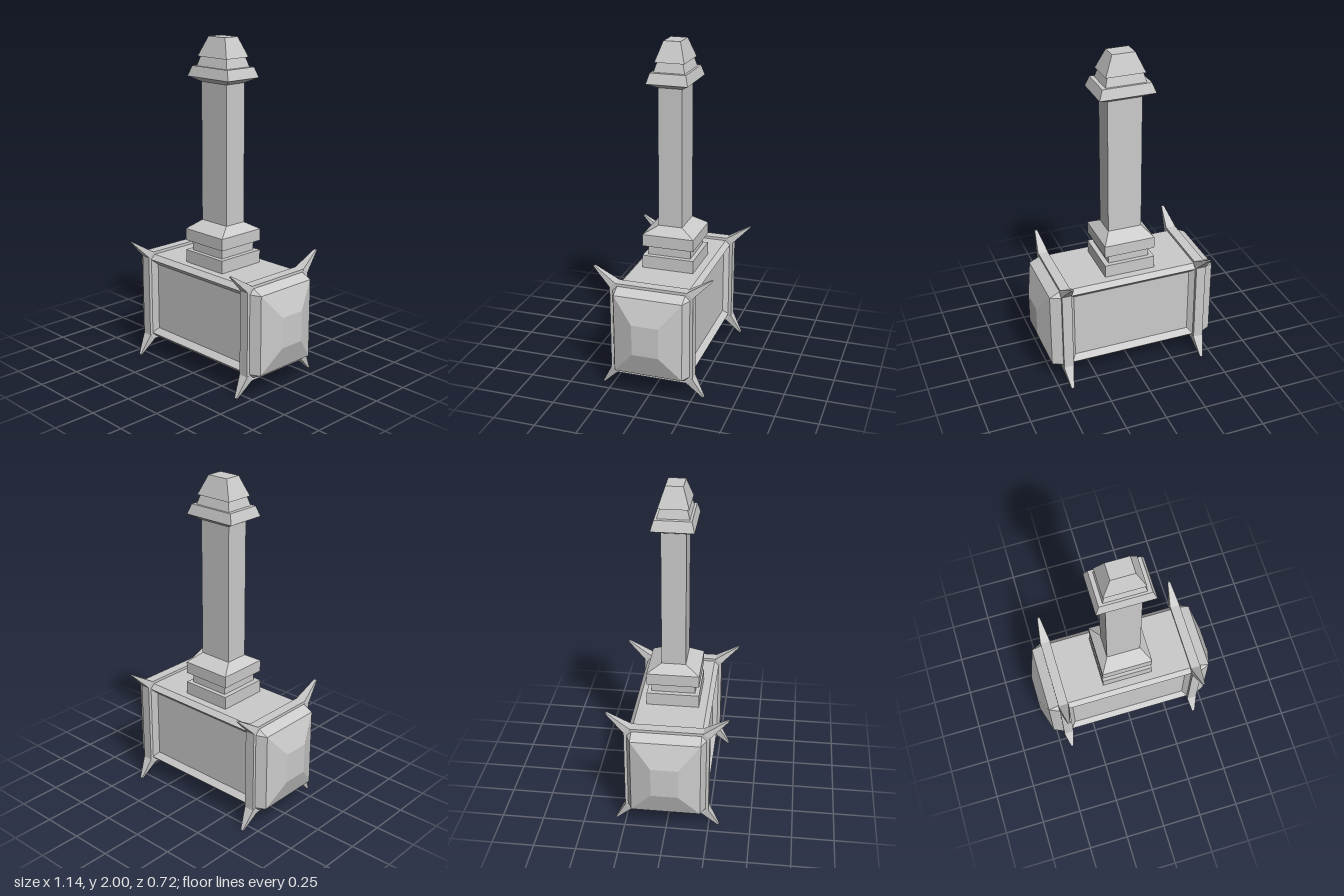
import * as THREE from 'three';
import { ConvexGeometry } from 'three/addons/geometries/ConvexGeometry.js';

const material = new THREE.MeshStandardMaterial({ color: 0xcccccc, flatShading: true });

function mesh(name, geometry) {
  const m = new THREE.Mesh(geometry, material);
  m.name = name;
  return m;
}

// Flat-faced geometry from polygons, each a loop of [x, y, z] corners
function fromFaces(faces) {
  const pos = [];
  for (const f of faces)
    for (let i = 1; i < f.length - 1; i++) pos.push(...f[0], ...f[i], ...f[i + 1]);
  const g = new THREE.BufferGeometry();
  g.setAttribute('position', new THREE.Float32BufferAttribute(pos, 3));
  g.computeVertexNormals();
  return g;
}

// Skin equal-length rings (anticlockwise seen from the far end) and cap both ends
function loft(rings, skip = () => false) {
  const faces = [[...rings[0]].reverse(), rings[rings.length - 1]];
  for (let k = 0; k < rings.length - 1; k++) {
    const a = rings[k], b = rings[k + 1], n = a.length;
    for (let i = 0; i < n; i++) {
      const j = (i + 1) % n;
      if (!skip(k, i)) faces.push([a[i], a[j], b[j], b[i]]);
    }
  }
  return faces;
}

// Rectangle around the handle axis
const rect = (y, x, z) => [[-x, y, z], [x, y, z], [x, y, -z], [-x, y, -z]];

// Chamfered rectangle across the head
const MID = 0.38;
function section(x, h, d, c) {
  return [[-h + c, -d], [h - c, -d], [h, -d + c], [h, d - c],
    [h - c, d], [-h + c, d], [-h, d - c], [-h, -d + c]].map(([y, z]) => [x, MID + y, z]);
}

function headGeometry() {
  const half = [[0.57, 0.093, 0.08, 0], [0.52, 0.24, 0.205, 0], [0.46, 0.27, 0.232, 0.028], [0.4, 0.27, 0.232, 0.028]];
  const rings = [
    ...half.map(([x, ...r]) => section(-x, ...r)),
    ...[...half].reverse().map(([x, ...r]) => section(x, ...r)),
  ];
  // leave the long front and back faces open for the sunken panels
  const faces = loft(rings, (k, i) => k === 3 && (i === 0 || i === 4));
  for (const s of [1, -1]) {
    const loop = (x, y, z) => [[-s * x, MID - y, s * z], [s * x, MID - y, s * z],
      [s * x, MID + y, s * z], [-s * x, MID + y, s * z]];
    const outer = loop(0.4, 0.242, 0.232), inner = loop(0.37, 0.21, 0.2);
    faces.push(inner);
    for (let i = 0; i < 4; i++) {
      const j = (i + 1) % 4;
      faces.push([outer[i], outer[j], inner[j], inner[i]]);
    }
  }
  return fromFaces(faces);
}

// Corner spike: wide base on the band, narrow tip
function spikeGeometry(x, side, base, tip) {
  const points = [];
  for (const [list, w] of [[base, 0.031], [tip, 0.008]])
    for (const [z, y] of list)
      for (const s of [-1, 1]) points.push(new THREE.Vector3(x + s * w, y, side * z));
  return new ConvexGeometry(points);
}

export function createModel() {
  const model = new THREE.Group();
  model.name = 'hammer';

  model.add(mesh('head', headGeometry()));

  // Bands with four spikes each
  for (const x of [-0.428, 0.428]) {
    const band = new THREE.Group();
    band.name = x > 0 ? 'leftBand' : 'rightBand';
    band.add(mesh('strap', fromFaces(loft([
      section(x - 0.03, 0.287, 0.25, 0.03), section(x + 0.03, 0.287, 0.25, 0.03)]))));
    for (const side of [1, -1]) {
      band.add(mesh('upperSpike', spikeGeometry(x, side,
        [[0.25, 0.638], [0.213, 0.667], [0.2, 0.62]], [[0.358, 0.748], [0.35, 0.752]])));
      band.add(mesh('lowerSpike', spikeGeometry(x, side,
        [[0.25, 0.125], [0.213, 0.093], [0.2, 0.14]], [[0.313, 0.006], [0.305, 0.001]])));
    }
    model.add(band);
  }

  // Stepped collar on top of the head
  model.add(mesh('collar', fromFaces(loft([
    rect(0.64, 0.156, 0.157), rect(0.728, 0.156, 0.157), rect(0.728, 0.126, 0.131),
    rect(0.788, 0.126, 0.131), rect(0.788, 0.156, 0.157), rect(0.86, 0.156, 0.157),
    rect(0.91, 0.104, 0.072)]))));

  // Square-edged shaft
  model.add(mesh('shaft', fromFaces(loft([rect(0.9, 0.104, 0.072), rect(1.75, 0.104, 0.072)]))));

  // Flared pommel
  model.add(mesh('pommel', fromFaces(loft([
    rect(1.74, 0.106, 0.074), rect(1.77, 0.168, 0.123), rect(1.83, 0.146, 0.106),
    rect(1.83, 0.122, 0.092), rect(1.885, 0.106, 0.076), rect(1.885, 0.119, 0.088),
    rect(2.0, 0.068, 0.05)]))));

  return model;
}
